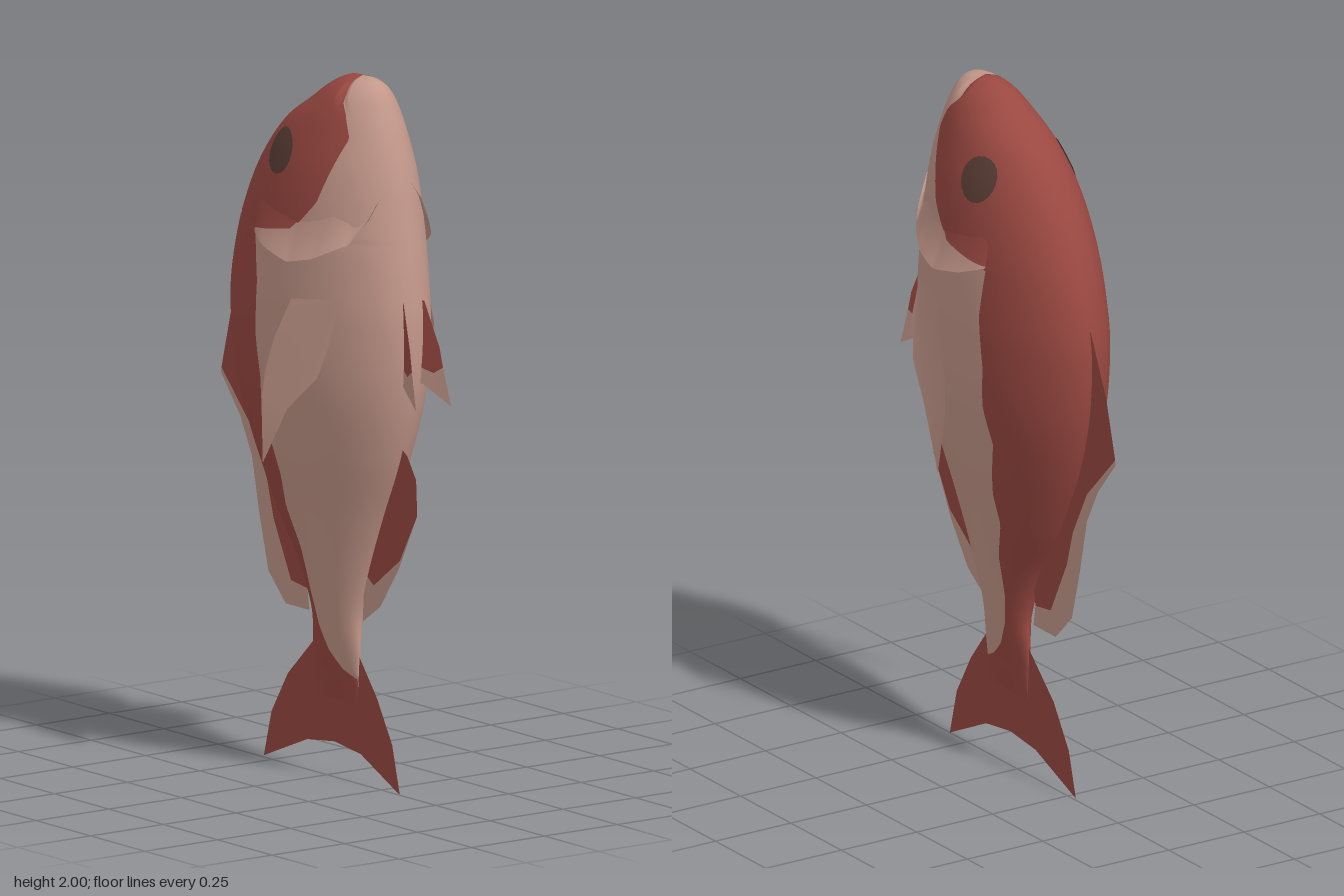
import * as THREE from 'three';

const pink = new THREE.MeshStandardMaterial({ name: 'paleBelly', color: 0xc4988b, side: THREE.DoubleSide });
const red = new THREE.MeshStandardMaterial({ name: 'redBack', color: 0x9a4841, side: THREE.DoubleSide });
const dark = new THREE.MeshStandardMaterial({ name: 'darkEye', color: 0x5a3d35, side: THREE.DoubleSide });

const { lerp, clamp, smoothstep } = THREE.MathUtils;

// Body sections: height, back z, belly z, half width
const SECTIONS = [
  [0.22, -0.05, 0.14, 0.001], [0.36, -0.058, 0.15, 0.025], [0.47, -0.055, 0.153, 0.045],
  [0.6, -0.105, 0.19, 0.07], [0.76, -0.205, 0.255, 0.103], [0.95, -0.3, 0.34, 0.143],
  [1.13, -0.355, 0.39, 0.175], [1.32, -0.37, 0.405, 0.187], [1.46, -0.347, 0.393, 0.186],
  [1.6, -0.297, 0.37, 0.18], [1.74, -0.22, 0.343, 0.16], [1.85, -0.125, 0.31, 0.128],
  [1.92, -0.02, 0.28, 0.098], [1.965, 0.045, 0.255, 0.068], [1.99, 0.095, 0.225, 0.035],
  [2.0, 0.13, 0.19, 0],
];
// Height and z of the line where red meets pale
const COLOUR_LINE = [
  [0.29, 0.15], [0.31, 0.1], [0.36, 0.045], [0.43, 0.01], [0.52, -0.01], [0.65, -0.02],
  [0.76, -0.06], [0.85, -0.055], [0.92, -0.07], [1.02, -0.1], [1.13, -0.08], [1.25, -0.092],
  [1.4, -0.08], [1.545, -0.1], [1.565, 0.05], [1.6, 0.11], [1.66, 0.165], [1.765, 0.205],
  [1.845, 0.235], [1.91, 0.205], [1.95, 0.175], [2.0, 0.16],
];
// Gill cover edge and the height where its red begins, both by z
const GILL_EDGE = [[-0.1, 1.545], [-0.02, 1.515], [0.1, 1.49], [0.19, 1.51], [0.29, 1.56], [0.32, 1.62], [0.342, 1.72]];
const GILL_RED = [[-0.1, 1.55], [-0.02, 1.56], [0.075, 1.575], [0.165, 1.66], [0.205, 1.765], [0.24, 1.85], [0.25, 3]];

// Linear lookup in a table
function lookup(table, t) {
  let k = 0;
  while (k < table.length - 2 && t > table[k + 1][0]) k++;
  const [a, b] = [table[k], table[k + 1]];
  return lerp(a[1], b[1], clamp((t - a[0]) / (b[0] - a[0]), 0, 1));
}

// Smooth lookup of the body section at height y
function section(y) {
  const S = SECTIONS, n = S.length - 1;
  let k = 0;
  while (k < n - 1 && y > S[k + 1][0]) k++;
  const h = S[k + 1][0] - S[k][0], t = clamp((y - S[k][0]) / h, 0, 1);
  const slope = (i, c) => {
    const a = S[Math.max(i - 1, 0)], b = S[Math.min(i + 1, n)];
    return (b[c] - a[c]) / (b[0] - a[0]);
  };
  return [1, 2, 3].map((c) =>
    (2 * t ** 3 - 3 * t ** 2 + 1) * S[k][c] + (t ** 3 - 2 * t ** 2 + t) * h * slope(k, c) +
    (3 * t ** 2 - 2 * t ** 3) * S[k + 1][c] + (t ** 3 - t ** 2) * h * slope(k + 1, c));
}

// Half width of the body at a point of the side profile
function surfaceX(y, z) {
  const [zb, zf, w] = section(y);
  const s = (2 * z - zb - zf) / (zf - zb);
  return w * Math.sqrt(Math.max(0, 1 - s * s));
}

// Grid of points with faces sorted into two material groups
function gridGeometry(rows, cols, point, isRed, wrap = false) {
  const pos = [], faces = [[], []], stride = wrap ? cols : cols + 1;
  for (let i = 0; i <= rows; i++) for (let j = 0; j < stride; j++) pos.push(...point(i, j));
  for (let i = 0; i < rows; i++) for (let j = 0; j < cols; j++) {
    const a = i * stride + j, c = i * stride + ((j + 1) % stride);
    faces[isRed(i, j) ? 1 : 0].push(a, a + stride, c, a + stride, c + stride, c);
  }
  const g = new THREE.BufferGeometry();
  g.setAttribute('position', new THREE.Float32BufferAttribute(pos, 3));
  g.setIndex([...faces[0], ...faces[1]]);
  g.addGroup(0, faces[0].length, 0);
  g.addGroup(faces[0].length, faces[1].length, 1);
  g.computeVertexNormals();
  return g;
}

function add(parent, name, geometry, material) {
  const mesh = new THREE.Mesh(geometry, material);
  mesh.name = name;
  parent.add(mesh);
}

// Thin fin from a (z, y) outline, placed sideways by a rule
function finGeometry(outline, xAt = () => 0) {
  const g = new THREE.ShapeGeometry(new THREE.Shape(outline.map(([z, y]) => new THREE.Vector2(z, y))));
  const p = g.attributes.position;
  for (let i = 0; i < p.count; i++) {
    const z = p.getX(i), y = p.getY(i);
    p.setXYZ(i, xAt(y, z), y, z);
  }
  g.computeVertexNormals();
  return g;
}

// Body: rings whose columns follow the colour line, with a mouth crease at the top
function bodyGeometry() {
  const rows = 110, half = 14, side = half * 2;
  const point = (i, j) => {
    const y = 0.22 + 1.78 * (1 - (1 - i / rows) ** 1.5);
    const [zb, zf, w] = section(y);
    const line = y < 0.29 ? zf : clamp(lookup(COLOUR_LINE, y), zb, zf);
    const split = Math.acos(clamp(-(2 * line - zb - zf) / (zf - zb), -1, 1));
    const k = j <= side ? j : 2 * side - j;
    const angle = k <= half ? split * k / half : lerp(split, Math.PI, (k - half) / half);
    const crease = k === half ? clamp((y - 1.88) / 0.12, 0, 1) ** 2 : 0;
    const x = w * Math.sin(angle) * (1 - 0.15 * crease);
    return [j <= side ? x : -x, y - 0.04 * crease, (zb + zf) / 2 - Math.cos(angle) * (zf - zb) / 2];
  };
  return gridGeometry(rows, side * 2, point, (i, j) => j < half || j >= side * 2 - half, true);
}

// Gill cover: flared patch lifting off the body along its lower edge
function gillGeometry(side) {
  const rows = 40, half = 6;
  return gridGeometry(rows, half * 2, (i, j) => {
    const u = i / rows, z = lerp(-0.1, 0.342, u);
    const low = lookup(GILL_EDGE, z);
    const top = low + 0.14 * (1 - 0.85 * smoothstep(u, 0.7, 1));
    const mid = clamp(lookup(GILL_RED, z), low, top);
    const y = j <= half ? lerp(low, mid, j / half) : lerp(mid, top, (j - half) / half);
    const v = (y - low) / (top - low);
    const flare = (0.003 + 0.03 * Math.sin(Math.PI * u) ** 0.6) * (1 - v) ** 2 - 0.003 * v;
    return [side * (surfaceX(y, z) + flare), y, z];
  }, (i, j) => j >= half);
}

// Eye: thin disc hugging the head
function eyeGeometry(side) {
  return gridGeometry(4, 20, (i, j) => {
    const r = 0.063 * i / 4, a = j / 20 * Math.PI * 2;
    const y = 1.775 + r * Math.sin(a), z = -0.02 + r * Math.cos(a);
    return [side * (surfaceX(y, z) + 0.004), y, z];
  }, () => false, true);
}

export function createModel() {
  const fish = new THREE.Group();
  fish.name = 'fish';
  add(fish, 'body', bodyGeometry(), [pink, red]);

  // Tail
  add(fish, 'tailFin', finGeometry([
    [-0.05, 0.4], [-0.06, 0.37], [-0.18, 0.255], [-0.255, 0.135], [-0.29, 0.005], [-0.09, 0.085], [0.035, 0.1],
    [0.155, 0.085], [0.335, 0], [0.3, 0.135], [0.23, 0.255], [0.155, 0.35], [0.12, 0.4]]), red);

  // Back fin with pale margin
  const backEdge = [[-0.485, 1.065], [-0.345, 0.92], [-0.275, 0.785], [-0.245, 0.68], [-0.165, 0.52], [-0.09, 0.51]];
  add(fish, 'backFin', finGeometry([
    [-0.08, 0.57], [-0.18, 0.78], [-0.28, 1.0], [-0.34, 1.2], [-0.35, 1.42], [-0.365, 1.4], [-0.44, 1.235], ...backEdge]), red);
  add(fish, 'backFinMargin', finGeometry([
    ...backEdge, [-0.08, 0.45], [-0.19, 0.45], [-0.27, 0.53], [-0.31, 0.68], [-0.345, 0.84], [-0.4, 0.945], [-0.487, 1.05]]), pink);

  // Rear belly fin with pale margin
  add(fish, 'bellyFin', finGeometry([
    [0.34, 0.98], [0.37, 0.96], [0.41, 0.9], [0.415, 0.8], [0.335, 0.66], [0.215, 0.57], [0.17, 0.6], [0.24, 0.8]]), red);
  add(fish, 'bellyFinMargin', finGeometry([
    [0.415, 0.8], [0.33, 0.635], [0.245, 0.515], [0.165, 0.46], [0.172, 0.6], [0.215, 0.57], [0.335, 0.66]]), pink);

  for (const side of [1, -1]) {
    const label = side > 0 ? 'left' : 'right';
    add(fish, label + 'GillCover', gillGeometry(side), [pink, red]);
    add(fish, label + 'Eye', eyeGeometry(side), [dark, dark]);

    // Side fin, curving away from the body
    const sideX = (y, z) => side * (surfaceX(1.4, z) + 0.005 + 0.05 * Math.sqrt(Math.max(0, 1.4 - y) / 0.47));
    add(fish, label + 'SideFin', finGeometry([
      [0.26, 1.4], [0.1, 1.385], [0.05, 1.27], [0.02, 1.18], [0.01, 1.09], [0.03, 0.915],
      [0.12, 1.08], [0.22, 1.18], [0.26, 1.3]], sideX), pink);

    // Front belly fin with pale tip
    const frontX = (y, z) => side * (0.025 + 0.035 * clamp((z - 0.38) / 0.11, 0, 1) ** 0.7);
    add(fish, label + 'FrontFin', finGeometry([
      [0.385, 1.4], [0.4, 1.4], [0.45, 1.275], [0.462, 1.22], [0.43, 1.2], [0.38, 1.215]], frontX), red);
    add(fish, label + 'FrontFinTip', finGeometry([
      [0.462, 1.22], [0.49, 1.115], [0.395, 1.165], [0.38, 1.165], [0.38, 1.215], [0.43, 1.2]], frontX), pink);
  }
  return fish;
}
